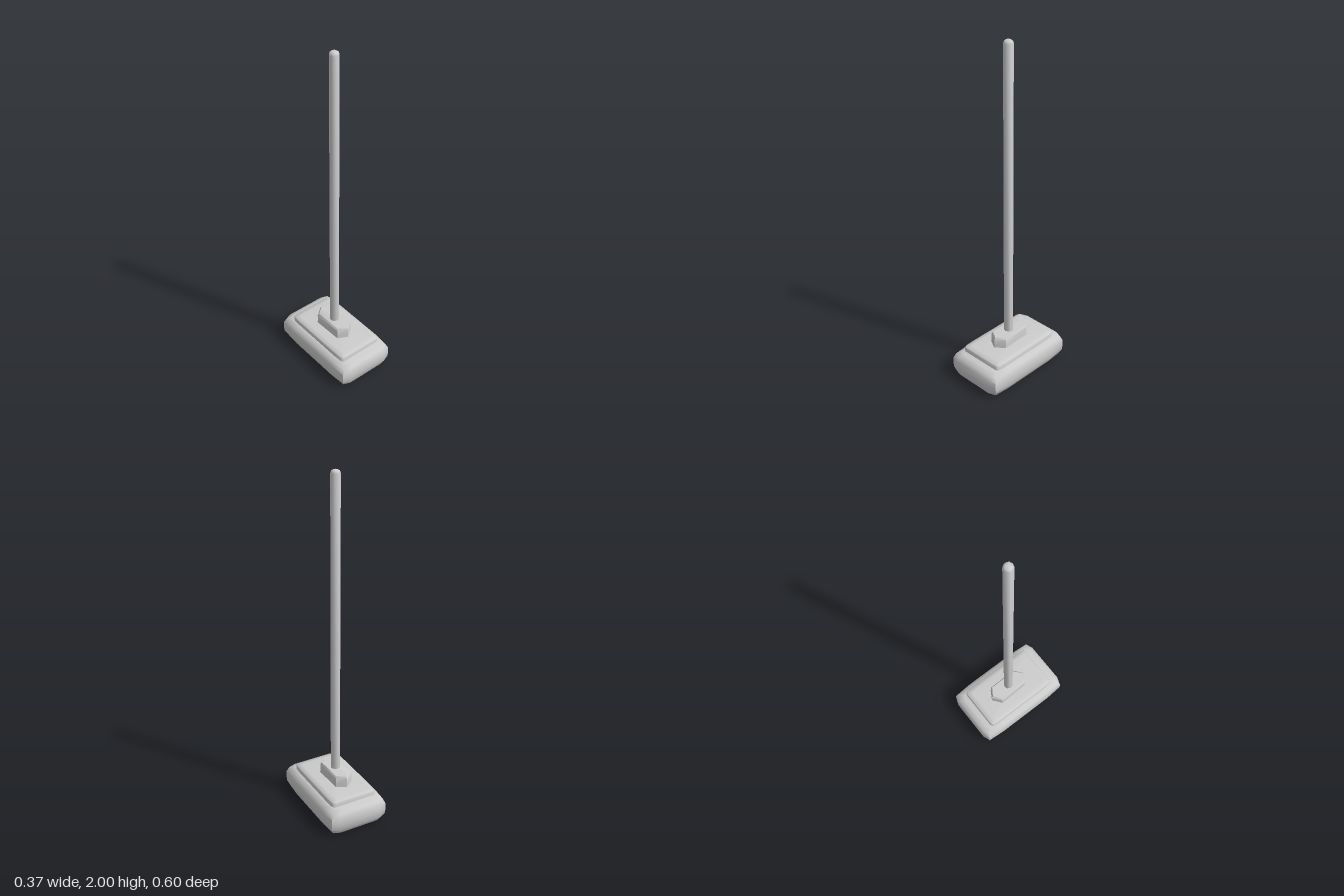
import * as THREE from 'three';
import { toCreasedNormals } from 'three/addons/utils/BufferGeometryUtils.js';

const material = new THREE.MeshStandardMaterial({ color: 0xcccccc });

// Mirrors the corner points of the +x +z quadrant into a closed outline
function mirrored(corner) {
  const half = [...corner, ...corner.map(([x, z]) => [-x, z]).reverse()];
  return [...half, ...half.map(([x, z]) => [-x, -z])];
}

// Stacks an outline of [x, z] points at levels of [y, inset] and caps both ends
function loft(name, outline, levels, crease) {
  const n = outline.length;
  const mx = Math.max(...outline.map((p) => Math.abs(p[0])));
  const mz = Math.max(...outline.map((p) => Math.abs(p[1])));
  const pos = [];
  const index = [];
  for (const [y, inset] of levels) {
    for (const [x, z] of outline) pos.push(x * (1 - inset / mx), y, z * (1 - inset / mz));
  }
  const last = levels.length - 1;
  pos.push(0, levels[0][0], 0, 0, levels[last][0], 0);
  const bottom = n * levels.length;
  for (let i = 0; i < n; i++) {
    const j = (i + 1) % n;
    for (let k = 0; k < last; k++) {
      const a = k * n + i, b = k * n + j;
      index.push(a, a + n, b, b, a + n, b + n);
    }
    index.push(bottom, i, j, bottom + 1, last * n + j, last * n + i);
  }
  const geometry = new THREE.BufferGeometry();
  geometry.setAttribute('position', new THREE.Float32BufferAttribute(pos, 3));
  geometry.setIndex(index);
  const mesh = new THREE.Mesh(toCreasedNormals(geometry, crease), material);
  mesh.name = name;
  return mesh;
}

export function createModel() {
  const model = new THREE.Group();
  model.name = 'handledBlock';

  // Heavy rounded base block
  model.add(loft('baseBlock',
    mirrored([[0.183, 0.18], [0.175, 0.285], [0.13, 0.302]]),
    [[0.005, 0.045], [0.014, 0.018], [0.045, 0.003], [0.08, 0], [0.115, 0.002], [0.143, 0.014], [0.155, 0.04]], 1.1));

  // Thin plate on top of the block
  model.add(loft('topPlate',
    mirrored([[0.141, 0.17], [0.138, 0.218], [0.132, 0.229], [0.12, 0.233]]),
    [[0.14, 0], [0.177, 0], [0.184, 0.004], [0.188, 0.03]], 1.1));

  // Slightly uneven six-sided socket holding the pole
  model.add(loft('poleSocket',
    [[0.052, 0.078], [0, 0.119], [-0.055, 0.088], [-0.06, -0.091], [-0.007, -0.132], [0.047, -0.1]],
    [[0.18, -0.003], [0.2, 0], [0.243, 0], [0.254, 0.008]], 0.9));

  // Long pole with a small domed tip
  const r = 0.027;
  const profile = [[0, 0.22], [r, 0.22], [r, 1.98], [0.023, 1.992], [0.014, 1.998], [0, 2]];
  const pole = new THREE.Mesh(
    toCreasedNormals(new THREE.LatheGeometry(profile.map(([x, y]) => new THREE.Vector2(x, y)), 10), 1.1), material);
  pole.name = 'pole';
  pole.position.set(-0.004, 0, -0.002);
  model.add(pole);

  return model;
}
